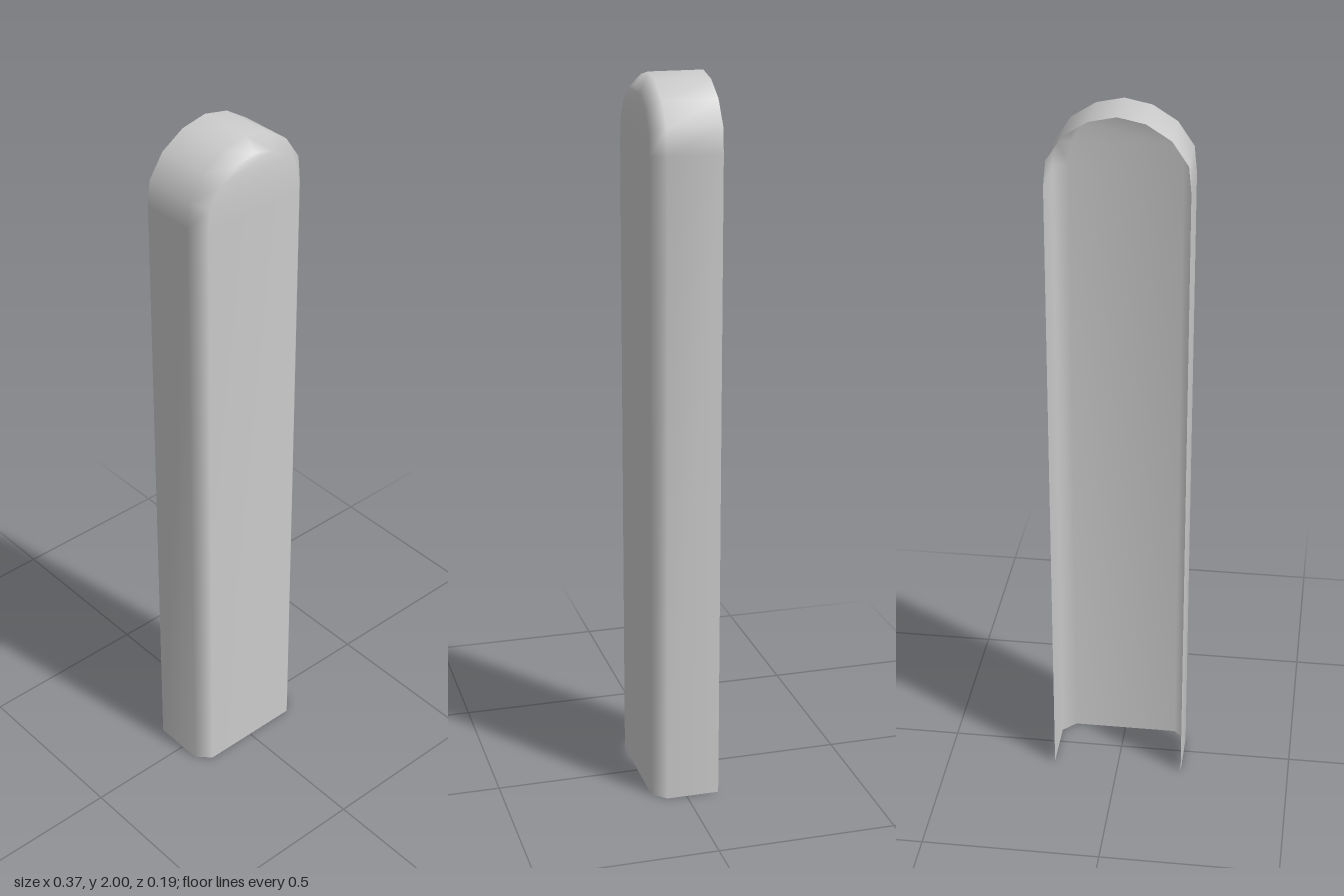
import * as THREE from 'three';
import { mergeVertices } from 'three/addons/utils/BufferGeometryUtils.js';

const BACK = -0.093, SHOULDER = 0.056, FRONT = 0.093;

// Levels from the foot to the crown: [rim half width, rim y, face half width, face y]
const LEVELS = [
  [0.187, 0, 0.15, 0],
  [0.187, 1.81, 0.15, 1.805],
  [0.18, 1.88, 0.144, 1.863],
  [0.137, 1.944, 0.11, 1.917],
  [0.072, 1.985, 0.058, 1.953],
  [0, 2, 0, 1.967],
];

// Thin arched shell with a bevelled front edge, open at the back and the foot
function shellGeometry() {
  const positions = [], index = [];
  for (const [rimX, rimY, faceX, faceY] of LEVELS) {
    positions.push(
      -rimX, rimY, BACK, -rimX, rimY, SHOULDER, -faceX, faceY, FRONT,
      faceX, faceY, FRONT, rimX, rimY, SHOULDER, rimX, rimY, BACK,
    );
  }
  for (let i = 0; i < LEVELS.length - 1; i++) {
    const crown = i === LEVELS.length - 2;
    for (let j = 0; j < 5; j++) {
      const a = i * 6 + j, b = a + 1, c = b + 6, d = a + 6;
      index.push(a, b, c);
      // the front face closes to a point at the crown
      if (!(crown && j === 2)) index.push(a, c, d);
    }
  }
  let geometry = new THREE.BufferGeometry();
  geometry.setAttribute('position', new THREE.Float32BufferAttribute(positions, 3));
  geometry.setIndex(index);
  geometry = mergeVertices(geometry, 1e-4);
  geometry.computeVertexNormals();
  return geometry;
}

export function createModel() {
  const group = new THREE.Group();
  group.name = 'archedCover';
  const material = new THREE.MeshStandardMaterial({ color: 0xcccccc, side: THREE.DoubleSide });
  const shell = new THREE.Mesh(shellGeometry(), material);
  shell.name = 'shell';
  group.add(shell);
  return group;
}
